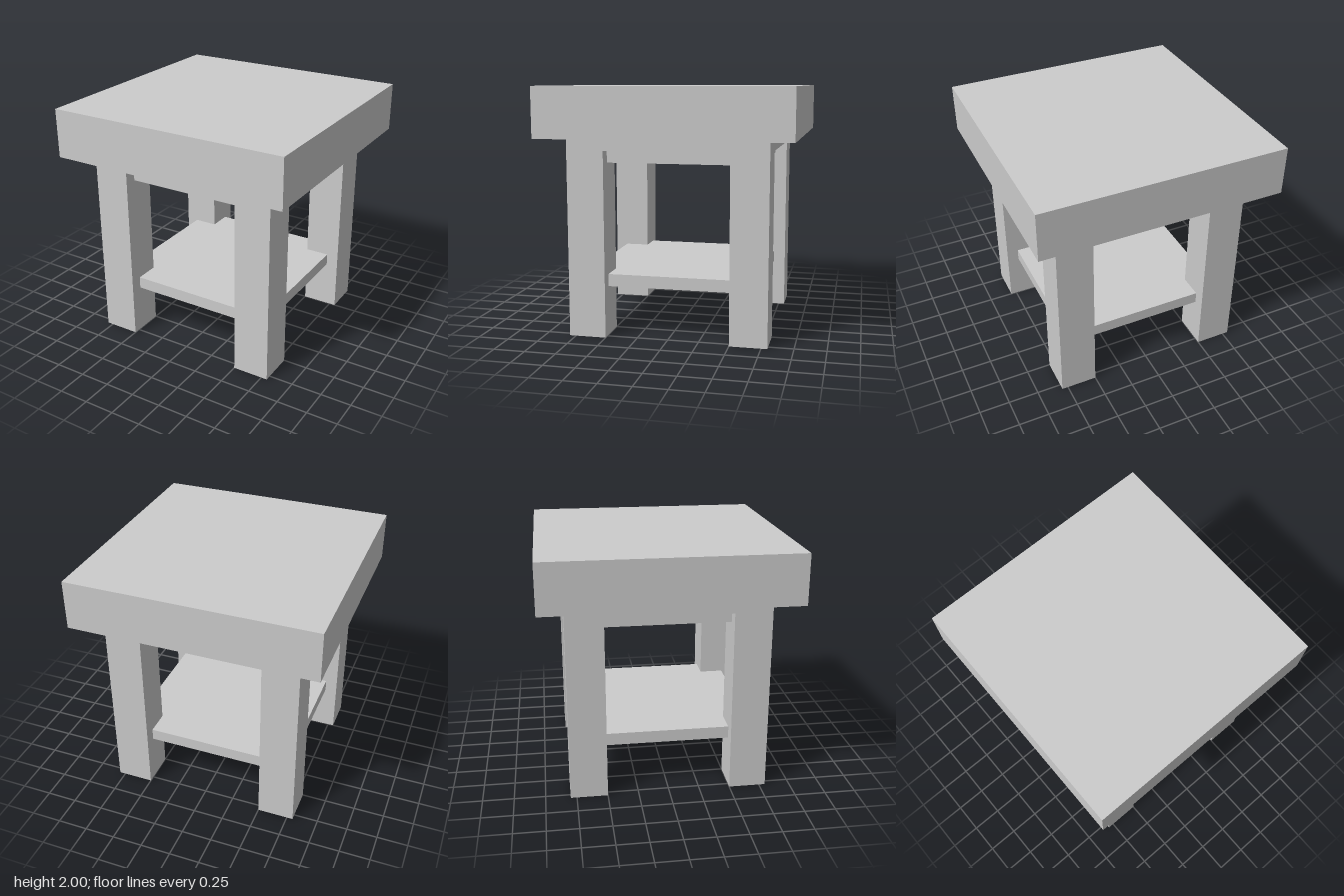
import * as THREE from 'three';

const material = new THREE.MeshStandardMaterial({ color: 0xcccccc, flatShading: true });

// Square block of a given width, standing between two heights
function block(name, width, bottom, top, x = 0, z = 0) {
  const mesh = new THREE.Mesh(new THREE.BoxGeometry(width, top - bottom, width), material);
  mesh.name = name;
  mesh.position.set(x, (bottom + top) / 2, z);
  return mesh;
}

export function createModel() {
  const group = new THREE.Group();
  group.name = 'sideTable';

  // Thick top, the apron beneath it flush with the legs, and two panels set in from it
  group.add(
    block('tableTop', 2, 1.6, 2),
    block('apron', 1.6, 1.5, 1.6),
    block('upperPanel', 1.4, 1.4, 1.5),
    block('lowerShelf', 1.4, 0.4, 0.5),
  );

  // Four square legs
  for (const [side, x] of [['Left', 0.65], ['Right', -0.65]]) {
    for (const [end, z] of [['front', 0.65], ['back', -0.65]]) {
      group.add(block(`${end}${side}Leg`, 0.3, 0, 1.5, x, z));
    }
  }
  return group;
}
